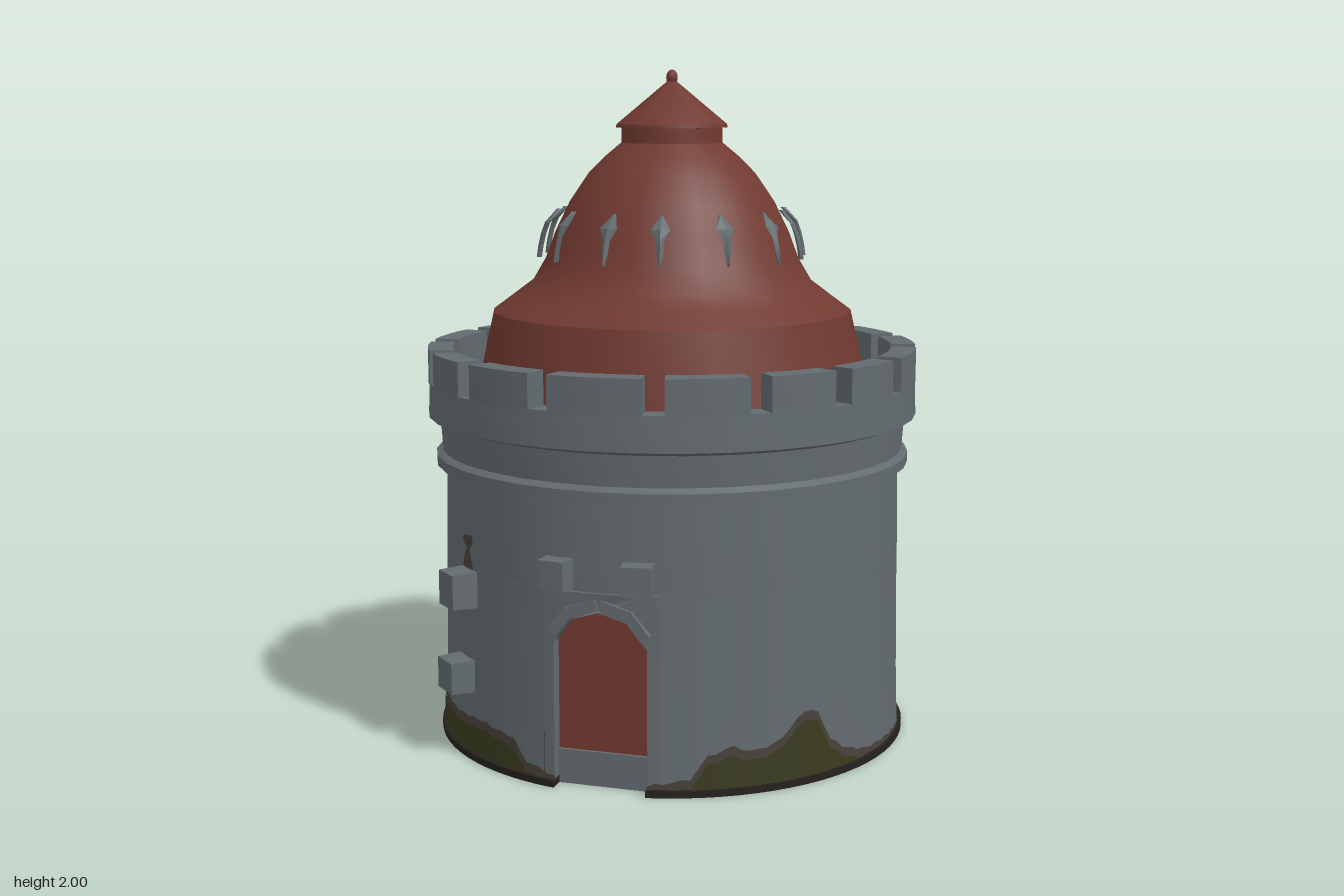
import * as THREE from 'three';
import { toCreasedNormals } from 'three/addons/utils/BufferGeometryUtils.js';

const mat = (name, color, side = THREE.FrontSide) => {
  const m = new THREE.MeshStandardMaterial({ color, side });
  m.name = name;
  return m;
};
const rad = THREE.MathUtils.degToRad;
const V2 = ([x, y]) => new THREE.Vector2(x, y);

export function createModel() {
  const model = new THREE.Group();
  model.name = 'castleTower';
  const stone = mat('stone', 0x636b6f, THREE.DoubleSide);
  const red = mat('redRoof', 0x713a31);
  const moss = mat('moss', 0x3b3c21);
  const dirt = mat('dirt', 0x48423a);
  const dark = mat('darkBase', 0x24211d);

  const add = (name, geo, material, crease = 0.6) => {
    const mesh = new THREE.Mesh(crease ? toCreasedNormals(geo, crease) : geo, material);
    mesh.name = name;
    model.add(mesh);
    return mesh;
  };
  const lathe = (pts, segs, start = 0, len = Math.PI * 2) =>
    new THREE.LatheGeometry(pts.map(V2), segs, start, len);
  // flat plan shape raised upwards
  const raise = (shape, h, y) => new THREE.ExtrudeGeometry(shape, { depth: h, bevelEnabled: false, curveSegments: 40 })
    .rotateX(-Math.PI / 2).translate(0, y, 0);

  // Base slab with a notch in front of the door
  const notch = Math.asin(0.135 / 0.715);
  const slab = new THREE.Shape();
  slab.absarc(0, 0, 0.715, -Math.PI / 2 + notch, Math.PI * 1.5 - notch, false);
  slab.lineTo(-0.135, -0.64);
  slab.lineTo(0.135, -0.64);
  add('baseSlab', raise(slab, 0.02, 0), dark);

  // Round wall, open where the door frame sits
  const gap = Math.asin(0.17 / 0.695);
  add('lowerWall', lathe([[0.703, 0.015], [0.697, 0.2], [0.692, 0.57]], 36, gap, Math.PI * 2 - 2 * gap), stone);
  add('upperWall', lathe([
    [0.692, 0.57], [0.688, 0.83], [0.718, 0.832], [0.718, 0.862], [0.7, 0.875], [0.706, 0.965],
    [0.74, 0.978], [0.736, 1.08], [0.662, 1.08], [0.655, 1.05], [0.55, 1.05],
  ], 36), stone);

  // Merlons between sixteen notches
  const quarter = [13, 36, 57, 78];
  const cuts = [];
  for (let q = 0; q < 2; q++) {
    quarter.forEach((a) => cuts.push(q * 180 + a, q * 180 + 180 - a));
  }
  cuts.sort((a, b) => a - b);
  cuts.forEach((c, i) => {
    const next = i + 1 < cuts.length ? cuts[i + 1] : cuts[0] + 360;
    const a0 = rad(c + 2.4 - 90), a1 = rad(next - 2.4 - 90), n = 4;
    const s = new THREE.Shape();
    for (let k = 0; k <= n; k++) {
      const a = a0 + (a1 - a0) * k / n;
      s[k ? 'lineTo' : 'moveTo'](0.738 * Math.cos(a), 0.738 * Math.sin(a));
    }
    for (let k = n; k >= 0; k--) {
      const a = a0 + (a1 - a0) * k / n;
      s.lineTo(0.664 * Math.cos(a), 0.664 * Math.sin(a));
    }
    add('merlon', raise(s, 0.105, 1.075), stone);
  });

  // Door frame bent to the curve of the wall
  const frame = new THREE.Shape();
  frame.moveTo(0.137, 0.01);
  frame.lineTo(0.17, 0.01);
  for (let i = 0; i <= 8; i++) frame.lineTo(0.17 - 0.0425 * i, 0.572);
  [[-0.17, 0.01], [-0.137, 0.01], [-0.137, 0.42], [-0.085, 0.492], [0, 0.518], [0.085, 0.492], [0.137, 0.42]]
    .forEach(([x, y]) => frame.lineTo(x, y));
  const frameGeo = new THREE.ExtrudeGeometry(frame, { depth: 0.08, bevelEnabled: false });
  const fp = frameGeo.attributes.position;
  for (let i = 0; i < fp.count; i++) {
    const x = fp.getX(i);
    fp.setZ(i, Math.sqrt(0.7 * 0.7 - x * x) + fp.getZ(i) - 0.08);
  }
  add('doorFrame', frameGeo, stone, 0.4);
  add('door', new THREE.BoxGeometry(0.29, 0.46, 0.03).translate(0, 0.32, 0.63), red, 0);
  add('doorStep', new THREE.BoxGeometry(0.274, 0.1, 0.07).translate(0, 0.05, 0.62), stone, 0);
  // Hood stones over the arch
  [[-0.11, 0.487, 0.9], [-0.045, 0.528, 0.3], [0.045, 0.528, -0.3], [0.11, 0.487, -0.9]].forEach(([x, y, r]) => {
    const hood = add('hoodStone', new THREE.BoxGeometry(0.085, 0.03, 0.03), stone, 0);
    hood.position.set(x, y, 0.69);
    hood.rotation.z = r;
  });

  // Stones standing out of the wall: angle, height, width, tall, outer radius
  [[-10, 0.62, 0.088, 0.092, 0.742], [9.3, 0.62, 0.095, 0.092, 0.742],
    [-42, 0.51, 0.105, 0.11, 0.765], [-43.5, 0.248, 0.11, 0.1, 0.765]].forEach(([a, y, w, h, r]) => {
    const g = new THREE.BoxGeometry(w, h, 0.12);
    const p = g.attributes.position;
    for (let i = 0; i < p.count; i++) {
      if (p.getZ(i) > 0) p.setXY(i, p.getX(i) * 0.9, p.getY(i) * 0.92);
    }
    const block = add('wallStone', g, stone);
    block.position.set((r - 0.06) * Math.sin(rad(a)), y, (r - 0.06) * Math.cos(rad(a)));
    block.rotation.y = rad(a);
  });

  // Moss and dirt wrapped round the foot: [angle from the front, height]
  const heights = [[11, 0.03], [21, 0.05], [25, 0.115], [31, 0.14], [35, 0.12], [42, 0.135], [46, 0.185], [50, 0.222],
    [54, 0.19], [56, 0.12], [62, 0.07], [70, 0.042], [95, 0.03], [120, 0.055], [140, 0.03], [180, 0.042], [215, 0.03],
    [245, 0.045], [262, 0.06], [275, 0.115], [300, 0.135], [312, 0.12], [325, 0.13], [337, 0.115], [340, 0.06], [349, 0.03]];
  const heightAt = (a) => {
    const i = Math.max(1, heights.findIndex((h) => h[0] >= a));
    const [a0, h0] = heights[i - 1], [a1, h1] = heights[i];
    return h0 + (h1 - h0) * (a - a0) / (a1 - a0) + 0.004 * Math.sin(a * 1.1);
  };
  const footBand = (radius, drop) => {
    const g = new THREE.PlaneGeometry(1, 1, 169, 1);
    const p = g.attributes.position;
    for (let i = 0; i < p.count; i++) {
      const a = Math.min(349, 11 + (p.getX(i) + 0.5) * 338);
      const y = p.getY(i) > 0 ? Math.max(0.013, heightAt(a) - drop) : 0.012;
      p.setXYZ(i, radius * Math.sin(rad(a)), y, radius * Math.cos(rad(a)));
    }
    g.computeVertexNormals();
    return g;
  };
  add('dirtBand', footBand(0.704, 0), dirt, 0);
  add('mossBand', footBand(0.707, 0.014 + 0.012), moss, 0);

  // Small stain above the upper side stone
  const stain = new THREE.Shape([[-0.03, -0.05], [0.035, -0.05], [0.022, -0.015], [0.01, 0.005], [0.036, 0.03],
    [0.03, 0.05], [-0.02, 0.045], [-0.03, 0.028], [-0.004, 0.01], [-0.02, -0.015]].map(V2));
  const stainMesh = add('stain', new THREE.ShapeGeometry(stain), dirt, 0);
  stainMesh.position.set(-0.697 * Math.sin(rad(41.5)), 0.62, 0.697 * Math.cos(rad(41.5)));
  stainMesh.rotation.y = rad(-41.5);

  // Bell-shaped roof, cap and finial
  add('roof', lathe([[0.595, 1.04], [0.565, 1.18], [0.541, 1.285], [0.48, 1.33], [0.42, 1.375], [0.382, 1.44],
    [0.352, 1.52], [0.308, 1.61], [0.25, 1.695], [0.2, 1.745], [0.152, 1.785], [0.15, 1.84]], 24), red, 0.7);
  add('roofCap', lathe([[0.0, 1.825], [0.168, 1.83], [0.166, 1.84], [0.015, 1.965], [0, 1.967]], 16), red, 0.5);
  add('finial', new THREE.SphereGeometry(0.018, 10, 8).scale(1, 1.3, 1).translate(0, 1.977, 0), red, 0);

  // Diamond-headed hooks round the roof: radius, height, half width
  const rows = [[0.338, 1.59, 0.002], [0.374, 1.55, 0.028], [0.386, 1.518, 0.012], [0.395, 1.48, 0.01], [0.4, 1.445, 0.002]];
  const hook = new THREE.CylinderGeometry(1, 1, 1, 4, 4, true);
  const hp = hook.attributes.position;
  for (let i = 0; i < hp.count; i++) {
    const [r, y, w] = rows[Math.round((0.5 - hp.getY(i)) * 4)];
    hp.setXYZ(i, hp.getX(i) * w, y, r + hp.getZ(i) * 0.008);
  }
  [12, 40.6, 67.6, 90, 112, 139.4, 168].forEach((a) => {
    [a, -a].forEach((b) => { add('roofHook', hook, stone, 0.4).rotation.y = rad(b); });
  });

  return model;
}
